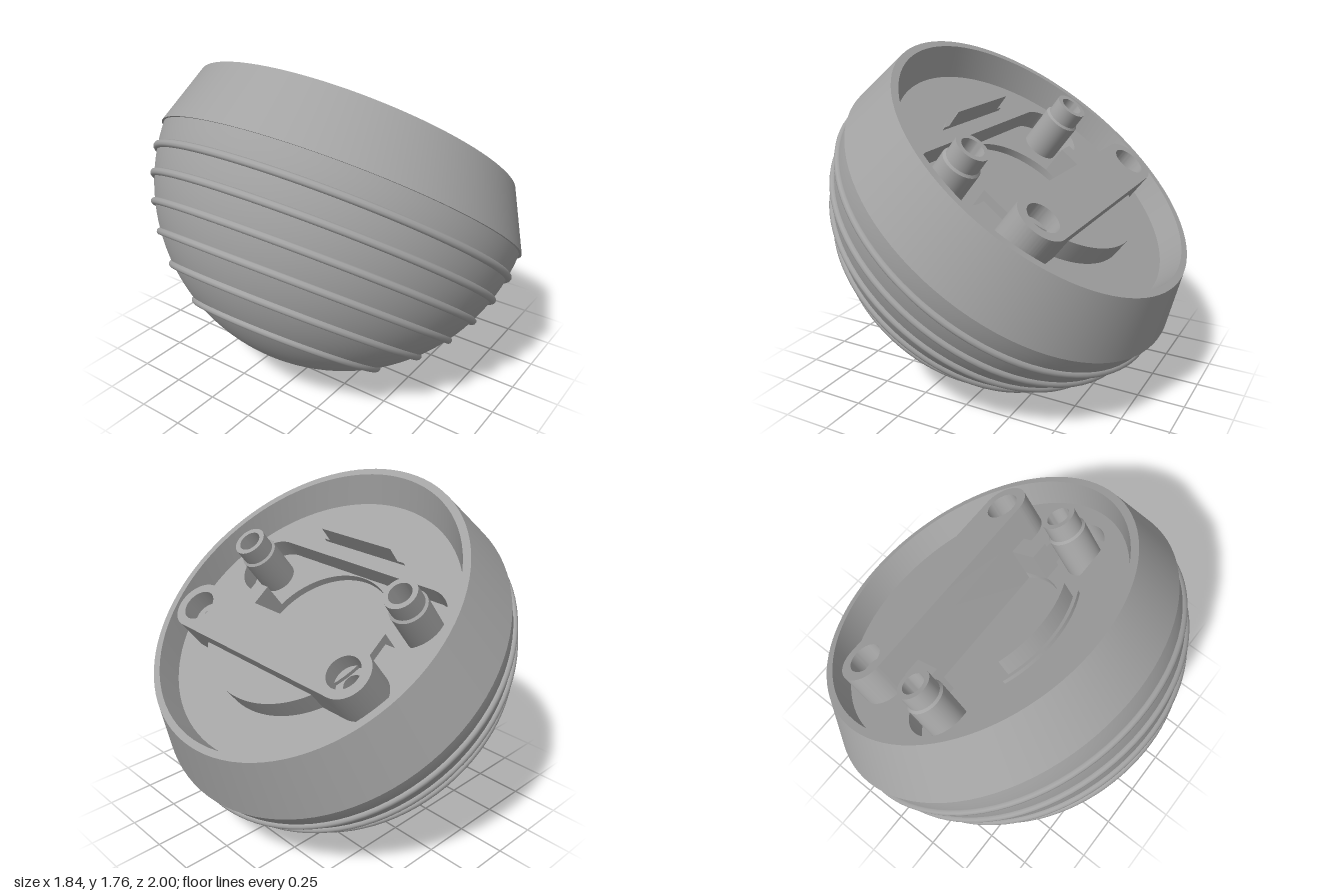
import * as THREE from 'three';
import { toCreasedNormals } from 'three/addons/utils/BufferGeometryUtils.js';

const gray = new THREE.MeshStandardMaterial({ color: 0xa3a3a3 });
gray.name = 'plain gray';
const TILT = 0.649;

// Surface through elliptical rings {y, c: x offset, rx, rz}, listed upwards for an outer wall
function loft(rings, n = 96) {
  const pos = [], idx = [];
  rings.forEach(({ y, c = 0, rx, rz }) => {
    for (let i = 0; i < n; i++) {
      const a = (i / n) * Math.PI * 2;
      pos.push(c + rx * Math.cos(a), y, rz * Math.sin(a));
    }
  });
  for (let k = 0; k < rings.length - 1; k++) {
    for (let i = 0; i < n; i++) {
      const j = (i + 1) % n, a = k * n + i, b = k * n + j, d = a + n, e = b + n;
      idx.push(a, d, b, b, d, e);
    }
  }
  const g = new THREE.BufferGeometry();
  g.setAttribute('position', new THREE.Float32BufferAttribute(pos, 3));
  g.setIndex(idx);
  g.computeVertexNormals();
  return g;
}

// Flat shape raised from y0 to y1
function slab(shape, y0, y1) {
  const g = new THREE.ExtrudeGeometry(shape, { depth: y1 - y0, bevelEnabled: false, curveSegments: 32 });
  g.rotateX(-Math.PI / 2).translate(0, y0, 0);
  return toCreasedNormals(g, 0.6);
}

function circle(x, y, r, Type = THREE.Shape) {
  const s = new Type();
  s.absarc(x, y, r, 0, Math.PI * 2, false);
  return s;
}

// Part of a disc cut off by a straight line: half angle a, facing direction d
function segment(r, a, d) {
  const s = new THREE.Shape();
  s.absarc(0, 0, r, d - a, d + a, false);
  s.closePath();
  return s;
}

export function createModel() {
  const model = new THREE.Group();
  const bowl = new THREE.Group();
  bowl.name = 'tiltedBowl';
  bowl.rotation.z = -TILT;
  bowl.position.set(-0.428, 0.325, 0);
  model.add(bowl);
  const add = (name, geometry) => {
    const m = new THREE.Mesh(geometry, gray);
    m.name = name;
    bowl.add(m);
    return m;
  };

  // Rounded lower shell
  const R = 0.985, cy = 0.85;
  const profile = [];
  for (let i = 0; i <= 32; i++) {
    const a = -Math.PI / 2 + (i / 32) * (Math.PI / 2 - 0.061);
    profile.push(new THREE.Vector2(Math.max(R * Math.cos(a), 0), cy + R * Math.sin(a)));
  }
  add('lowerShell', new THREE.LatheGeometry(profile, 96));

  // Tapered collar, rim and inner wall
  const corner = { y: 0.79, rx: 0.99, rz: 0.998 };
  const rimOuter = { y: 1.1, c: -0.035, rx: 0.893, rz: 0.868 };
  const rimInner = { y: 1.1, c: -0.033, rx: 0.855, rz: 0.83 };
  const wallFoot = { y: 0.95, c: -0.005, rx: 0.795, rz: 0.815 };
  add('shellEdge', loft([{ y: 0.79, rx: 0.983, rz: 0.983 }, corner]));
  add('collar', loft([corner, rimOuter]));
  add('rim', loft([rimOuter, rimInner]));
  add('innerWall', loft([rimInner, wallFoot]));

  // Ribs round the lower shell
  for (let i = 0; i < 6; i++) {
    const y = 0.662 - i * 0.132;
    const g = new THREE.TorusGeometry(Math.sqrt(R * R - (y - cy) ** 2) + 0.002, 0.019, 10, 96);
    g.rotateX(Math.PI / 2).translate(0, y, 0);
    add('rib', g);
  }

  // Floor with a cross slot joined to a round pocket
  const floor = circle(0, 0, 0.825);
  const cut = new THREE.Path();
  const pa = Math.atan2(0.397, -0.05);
  cut.absarc(-0.225, -0.525, 0.175, Math.PI, Math.PI * 2, false);
  cut.absarc(0, 0, 0.4, -pa, pa, false);
  cut.absarc(-0.225, 0.525, 0.175, 0, Math.PI, false);
  cut.closePath();
  floor.holes.push(cut);
  add('floor', slab(floor, 0.84, 0.955));
  const slotFloor = circle(0, 0, 0.8);
  slotFloor.holes.push(circle(0, 0, 0.395, THREE.Path));
  add('slotFloor', slab(slotFloor, 0.8, 0.84));
  add('pocketFloor', slab(circle(0, 0, 0.5), 0.76, 0.8));

  // Raised round plate, left standing on both sides of the slot
  add('raisedPlate', slab(segment(0.54, Math.acos(0.12 / 0.54), 0), 0.8, 1.07));
  add('raisedTab', slab(segment(0.54, Math.acos(0.48 / 0.54), Math.PI), 0.9, 1.07));
  add('tabFoot', slab(segment(0.56, Math.acos(0.48 / 0.56), Math.PI), 0.9, 0.975));

  // Clamp bar with stepped screw holes
  const bar = (hole) => {
    const s = new THREE.Shape();
    s.absarc(0.225, 0.555, 0.135, 0, Math.PI, false);
    s.absarc(0.225, -0.555, 0.135, Math.PI, Math.PI * 2, false);
    s.closePath();
    for (const z of [-0.55, 0.55]) s.holes.push(circle(0.225, z, hole, THREE.Path));
    return s;
  };
  add('clampBarTop', slab(bar(0.088), 1.05, 1.153));
  add('clampBarBase', slab(bar(0.05), 0.8, 1.05));

  for (const side of [-1, 1]) {
    // Hollow stepped post
    const steps = [[0.1, 0.83], [0.1, 1.06], [0.088, 1.07], [0.088, 1.16], [0.06, 1.16], [0.055, 1.0], [0, 1.0]];
    const g = new THREE.LatheGeometry(steps.map(([r, y]) => new THREE.Vector2(r, y)), 40);
    add('post', toCreasedNormals(g, 0.6)).position.set(-0.225, 0, side * 0.55);

    // Small stop block beside the bar
    const block = new THREE.BoxGeometry(0.17, 0.16, 0.1);
    add('stopBlock', block).position.set(0.005, 0.92, side * 0.435);
  }
  return model;
}
